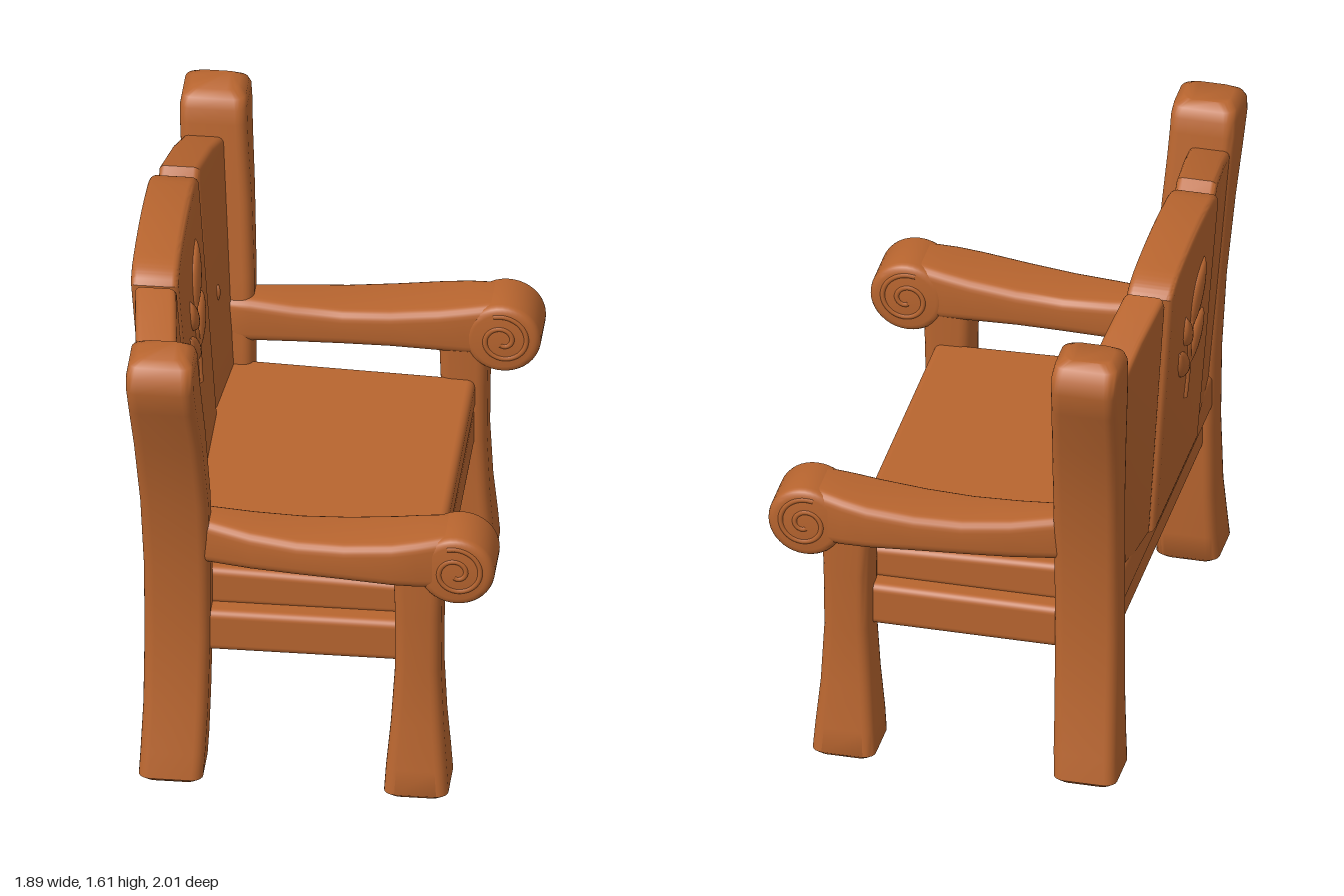
import * as THREE from 'three';
import { toCreasedNormals } from 'three/addons/utils/BufferGeometryUtils.js';
import { RoundedBoxGeometry } from 'three/addons/geometries/RoundedBoxGeometry.js';

const wood = new THREE.MeshStandardMaterial({ color: 0xb8652f });
wood.name = 'warm wood';

function add(parent, name, geometry, x = 0, y = 0, z = 0) {
  const mesh = new THREE.Mesh(geometry, wood);
  mesh.name = name;
  mesh.position.set(x, y, z);
  parent.add(mesh);
  return mesh;
}

// Upright timber lofted through rounded rectangles; rows are [y, inner, outer, back, front]
function timber(rows, side) {
  const first = rows[0], last = rows[rows.length - 1];
  const inset = (r, y, d) => [y, r[1] + d, r[2] - d, r[3] + d, r[4] - d];
  const all = [inset(first, first[0], 0.015), inset(first, first[0] + 0.015, 0),
    ...rows.slice(1, -1), inset(last, last[0] - 0.02, 0), inset(last, last[0], 0.025)];
  const n = 24, pos = [], index = [];
  for (const [y, a, b, z0, z1] of all) {
    const x0 = side > 0 ? a : -b, x1 = side > 0 ? b : -a, r = 0.035;
    for (let i = 0; i < n; i++) {
      const q = Math.floor(i / 6), t = (q + (i % 6) / 5) * Math.PI / 2;
      const cx = q === 0 || q === 3 ? x1 - r : x0 + r;
      const cz = q < 2 ? z1 - r : z0 + r;
      pos.push(cx + r * Math.cos(t), y, cz + r * Math.sin(t));
    }
  }
  for (let j = 0; j < all.length - 1; j++) for (let i = 0; i < n; i++) {
    const a = j * n + i, b = j * n + (i + 1) % n;
    index.push(a, a + n, b, b, a + n, b + n);
  }
  const top = (all.length - 1) * n;
  for (let i = 1; i < n - 1; i++) index.push(0, i, i + 1, top, top + i + 1, top + i);
  const g = new THREE.BufferGeometry();
  g.setAttribute('position', new THREE.Float32BufferAttribute(pos, 3));
  g.setIndex(index);
  return toCreasedNormals(g, 0.9);
}

// Bevelled board centred on its thickness
function board(shape, thickness, bevel) {
  const g = new THREE.ExtrudeGeometry(shape, { depth: thickness - 2 * bevel, bevelSize: bevel,
    bevelThickness: bevel, bevelSegments: 4, curveSegments: 16 });
  return g.translate(0, 0, bevel - thickness / 2);
}

// Round end of the arm, turned about the x axis with softened rims
function scrollGeometry(radius, width) {
  const pts = [new THREE.Vector2(0, -width / 2)], r = 0.025;
  for (const end of [-1, 1]) for (let i = 0; i <= 4; i++) {
    const t = (end < 0 ? i : 4 - i) / 4 * Math.PI / 2;
    pts.push(new THREE.Vector2(radius - r + r * Math.sin(t), end * (width / 2 - r + r * Math.cos(t))));
  }
  pts.push(new THREE.Vector2(0, width / 2));
  return toCreasedNormals(new THREE.LatheGeometry(pts, 40).rotateZ(Math.PI / 2), 0.7);
}

function spiralGeometry() {
  const pts = [];
  for (let i = 0; i <= 32; i++) {
    const t = i / 32, a = Math.PI * (0.6 - 3.2 * t), r = 0.09 - 0.073 * t;
    pts.push(new THREE.Vector3(0, r * Math.sin(a), r * Math.cos(a)));
  }
  return new THREE.TubeGeometry(new THREE.CatmullRomCurve3(pts), 64, 0.009, 6);
}

const LEAN = 0.07, BASE = -0.435;

// Back plank, leaning backwards; side planks also wrap forwards
function plankGeometry(side) {
  const s = new THREE.Shape();
  if (side === 0) {
    s.moveTo(-0.26, 0.68);
    s.lineTo(0.28, 0.68);
    s.lineTo(0.302, 1.53);
    s.quadraticCurveTo(0.28, 1.555, 0.225, 1.565);
    s.quadraticCurveTo(0, 1.595, -0.215, 1.565);
    s.quadraticCurveTo(-0.27, 1.555, -0.288, 1.53);
  } else {
    const o = side * 0.008;
    const p = [[0.31 + o, 0.68], [0.62, 0.68], [0.7, 1.44], [0.54, 1.5], [0.36, 1.54], [0.338 + o, 1.52]];
    if (side < 0) p.reverse();
    p.forEach(([x, y], i) => i ? s.lineTo(side * x, y) : s.moveTo(side * x, y));
  }
  s.closePath();
  const g = board(s, side ? 0.13 : 0.15, 0.02), v = g.attributes.position;
  for (let i = 0; i < v.count; i++) {
    const wrap = side ? 0.005 + 0.1 * (Math.abs(v.getX(i)) - 0.3) : 0;
    v.setZ(i, v.getZ(i) + BASE - LEAN * (v.getY(i) - 0.66) + wrap);
  }
  g.computeVertexNormals();
  return toCreasedNormals(g, 0.5);
}

// Pointed leaf running along +x from its base
function leafGeometry(length, width) {
  const g = new THREE.SphereGeometry(1, 20, 12), v = g.attributes.position;
  for (let i = 0; i < v.count; i++) {
    const x = v.getX(i), k = Math.sqrt(Math.max(0, 1 - x * x));
    v.setXYZ(i, (x + 1) * length / 2, v.getY(i) * k * width / 2 + 0.02 * k, v.getZ(i) * 0.024);
  }
  g.computeVertexNormals();
  return g;
}

function carving() {
  const g = new THREE.Group();
  g.name = 'leafCarving';
  const stem = new THREE.CatmullRomCurve3([[0, -0.21], [0.012, -0.1], [-0.005, 0], [0.02, 0.1]]
    .map(([x, y]) => new THREE.Vector3(x, y, 0)));
  add(g, 'stem', new THREE.TubeGeometry(stem, 24, 0.012, 8));
  const leaves = [[0, -0.09, -0.14, 0.04, 0.08], [0, -0.1, 0.17, 0.02, 0.09],
    [0, 0.0, -0.08, 0.14, 0.07], [0.01, 0.04, 0.14, 0.23, 0.1]];
  for (const [x, y, tx, ty, w] of leaves) {
    const leaf = add(g, 'leaf', leafGeometry(Math.hypot(tx - x, ty - y), w), x, y, 0);
    leaf.rotation.z = Math.atan2(ty - y, tx - x);
  }
  return g;
}

// Rounded slab whose top rises towards the back
function slabGeometry(w, h, d, rise) {
  const g = new RoundedBoxGeometry(w, h, d, 4, 0.025), v = g.attributes.position;
  for (let i = 0; i < v.count; i++) if (v.getY(i) > 0) v.setY(i, v.getY(i) - rise * v.getZ(i));
  return g;
}

export function createModel() {
  const model = new THREE.Group();
  model.name = 'woodenArmchair';
  const chair = new THREE.Group();
  chair.name = 'chair';
  chair.rotation.y = 0.937;
  chair.position.set(-0.01, 0, 0.014);
  model.add(chair);

  const postRows = [[0, 0.582, 0.782, -0.497, -0.295], [0.1, 0.578, 0.766, -0.493, -0.29],
    [0.25, 0.572, 0.733, -0.488, -0.285], [0.5, 0.568, 0.707, -0.487, -0.28],
    [0.75, 0.575, 0.712, -0.489, -0.28], [1, 0.61, 0.742, -0.497, -0.283],
    [1.25, 0.646, 0.808, -0.51, -0.295], [1.42, 0.67, 0.87, -0.52, -0.308],
    [1.51, 0.685, 0.9, -0.525, -0.313], [1.56, 0.692, 0.895, -0.525, -0.315],
    [1.61, 0.71, 0.87, -0.52, -0.32]];
  const legRows = [[0, 0.586, 0.796, 0.275, 0.477], [0.1, 0.587, 0.787, 0.28, 0.471],
    [0.25, 0.592, 0.764, 0.293, 0.459], [0.45, 0.595, 0.753, 0.305, 0.45],
    [0.65, 0.593, 0.755, 0.305, 0.452], [0.82, 0.59, 0.757, 0.3, 0.456]];
  // Arm beam rows run along z: [z, inner, outer, -top, -bottom]
  const armRows = [[-0.38, 0.585, 0.7, -0.925, -0.77], [-0.29, 0.58, 0.712, -0.925, -0.772],
    [-0.15, 0.577, 0.748, -0.912, -0.778], [0, 0.575, 0.772, -0.905, -0.782],
    [0.15, 0.576, 0.787, -0.911, -0.782], [0.3, 0.579, 0.793, -0.926, -0.775],
    [0.38, 0.582, 0.786, -0.938, -0.77], [0.45, 0.588, 0.772, -0.948, -0.765],
    [0.53, 0.59, 0.765, -0.951, -0.765]];
  const scroll = scrollGeometry(0.12, 0.195), spiral = spiralGeometry();

  for (const side of [-1, 1]) {
    add(chair, 'backPost', timber(postRows, side));
    add(chair, 'frontLeg', timber(legRows, side));
    add(chair, 'armrest', timber(armRows, side).rotateX(Math.PI / 2));
    add(chair, 'armEnd', scroll, side * 0.679, 0.835, 0.502);
    for (const face of [-1, 1])
      add(chair, 'armScroll', spiral, side * 0.679 + face * 0.093, 0.835, 0.502);
    add(chair, 'sideRail', new RoundedBoxGeometry(0.1, 0.145, 0.78, 4, 0.025), side * 0.628, 0.505, -0.02);
  }

  // Seat and apron
  add(chair, 'seat', slabGeometry(1.23, 0.125, 0.895, 0.03), 0, 0.627, -0.032);
  add(chair, 'seatFrame', new RoundedBoxGeometry(1.24, 0.15, 0.865, 4, 0.025), 0, 0.503, -0.02);

  // Back with carved middle plank
  for (const side of [-1, 0, 1])
    add(chair, side ? 'sideBackPlank' : 'middleBackPlank', plankGeometry(side));
  const carvings = new THREE.Group();
  carvings.name = 'carvings';
  carvings.position.set(0, 1.2, BASE - LEAN * 0.54);
  carvings.rotation.x = -Math.atan(LEAN);
  for (const face of [1, -1]) {
    const c = carving();
    c.position.z = face * 0.073;
    c.rotation.y = face > 0 ? 0 : Math.PI;
    carvings.add(c);
  }
  chair.add(carvings);

  // Small knots in the side planks
  for (const [x, y] of [[-0.45, 1.24], [0.45, 1.04]]) {
    const knot = add(chair, 'knot', new THREE.SphereGeometry(1, 12, 8), x, y,
      BASE + 0.085 - LEAN * (y - 0.66));
    knot.scale.set(0.014, 0.028, 0.008);
  }
  return model;
}
